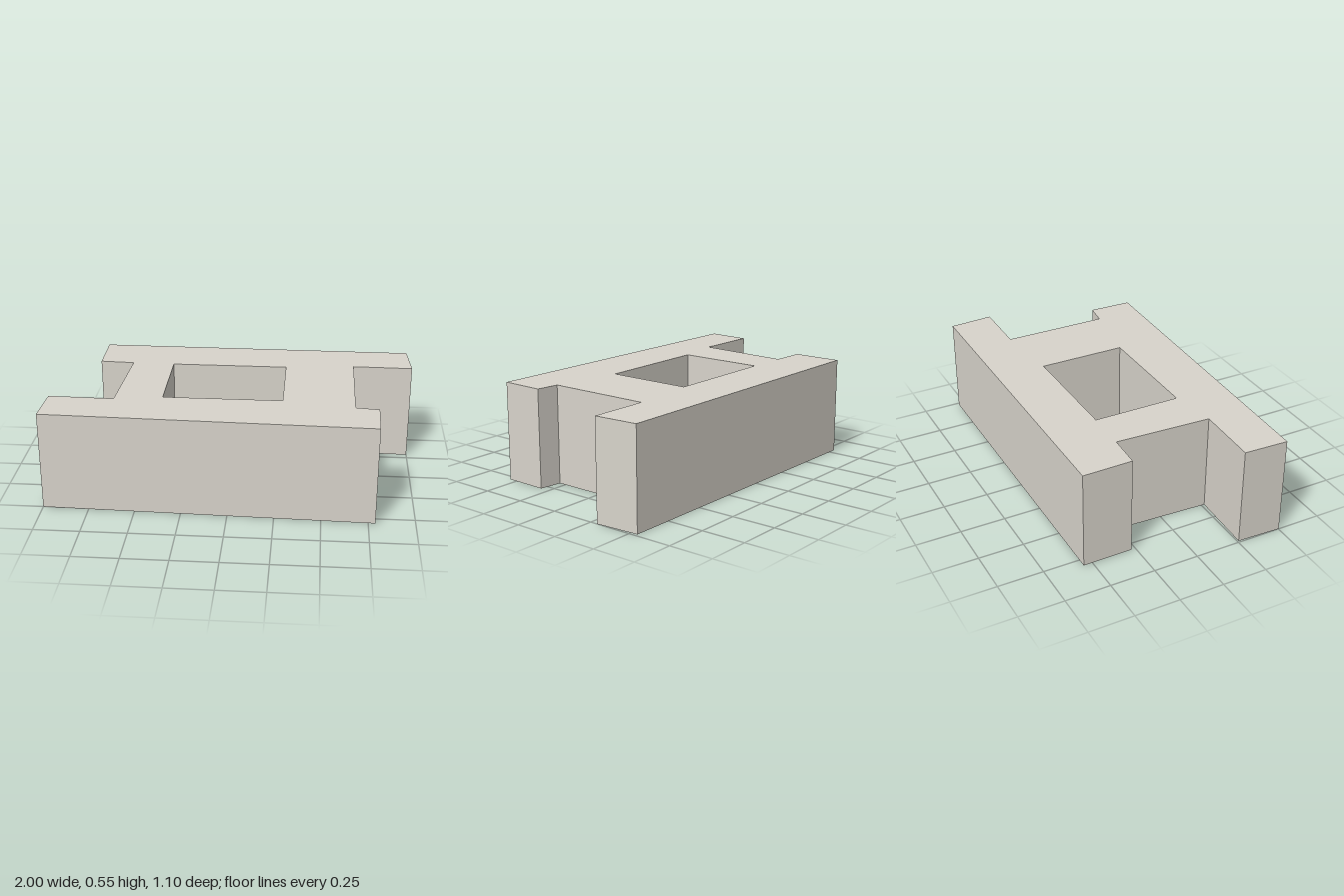
import * as THREE from 'three';

const HEIGHT = 0.549;

// Plan coordinates are [x, z]; z is flipped so the extrusion can be laid flat.
const toPoints = (plan) => plan.map(([x, z]) => new THREE.Vector2(x, -z));

export function createModel() {
  const model = new THREE.Group();
  model.name = 'hollowBlock';

  const concrete = new THREE.MeshStandardMaterial({ color: 0xd8d4cb });
  concrete.name = 'concrete grey';

  // Skewed H-shaped outline: back bar, right notch, front bar, left notch
  const outline = new THREE.Shape(toPoints([
    [-0.8, -0.549], [0.983, -0.538], [1, -0.292], [0.666, -0.297],
    [0.666, 0.29], [0.793, 0.306], [0.788, 0.549], [-1, 0.502],
    [-0.99, 0.257], [-0.632, 0.267], [-0.607, -0.264], [-0.797, -0.273],
  ]));

  // Rectangular opening, wound opposite to the outline so its walls face inward
  outline.holes.push(new THREE.Path(toPoints([
    [-0.371, -0.26], [-0.371, 0.225], [0.278, 0.225], [0.278, -0.26],
  ])));

  const geometry = new THREE.ExtrudeGeometry(outline, { depth: HEIGHT, bevelEnabled: false });
  geometry.rotateX(-Math.PI / 2);

  const block = new THREE.Mesh(geometry, concrete);
  block.name = 'blockBody';
  model.add(block);
  return model;
}
